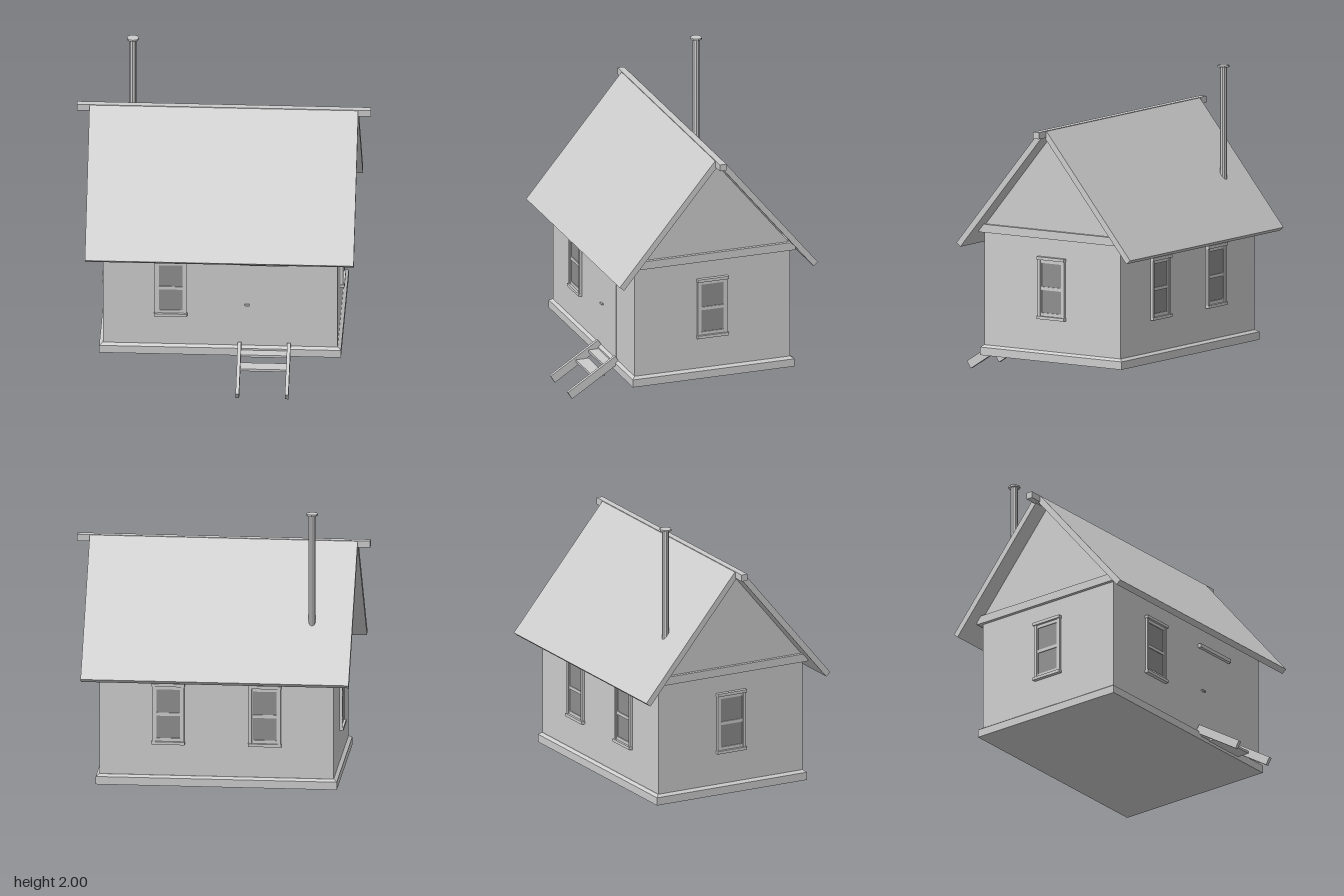
import * as THREE from 'three';

const CZ = -0.1; // depth of the ridge line

export function createModel() {
  const paint = new THREE.MeshStandardMaterial({ color: 0xcccccc, flatShading: true });
  paint.name = 'pale grey';
  const glass = new THREE.MeshStandardMaterial({ color: 0x8e8e8e, flatShading: true });
  glass.name = 'window grey';

  const house = new THREE.Group();
  house.name = 'cabin';

  const add = (parent, name, geometry, material = paint) => {
    const mesh = new THREE.Mesh(geometry, material);
    mesh.name = name;
    parent.add(mesh);
    return mesh;
  };
  // Box given by its minimum and maximum corners
  const box = (parent, name, [x0, y0, z0], [x1, y1, z1], material) => {
    const g = new THREE.BoxGeometry(x1 - x0, y1 - y0, z1 - z0);
    g.translate((x0 + x1) / 2, (y0 + y1) / 2, (z0 + z1) / 2);
    return add(parent, name, g, material);
  };
  // Side profile of [z, y] points, extruded along x
  const sideProfile = (name, points, x0, x1) => {
    const shape = new THREE.Shape(points.map(([z, y]) => new THREE.Vector2(-z, y)));
    const g = new THREE.ExtrudeGeometry(shape, { depth: x1 - x0, bevelEnabled: false });
    g.rotateY(Math.PI / 2).translate(x0, 0, 0);
    return add(house, name, g);
  };

  // Walls and base board with a sloping top edge
  box(house, 'walls', [-0.775, 0.2, CZ - 0.545], [0.775, 0.99, CZ + 0.548]);
  box(house, 'baseBoard', [-0.798, 0.16, CZ - 0.568], [0.798, 0.213, CZ + 0.568]);
  const lip = new THREE.BoxGeometry(1.596, 0.015, 1.136);
  const p = lip.attributes.position;
  for (let i = 0; i < p.count; i++) {
    if (p.getY(i) > 0) p.setXYZ(i, Math.sign(p.getX(i)) * 0.776, p.getY(i), Math.sign(p.getZ(i)) * 0.548);
  }
  lip.translate(0, 0.2205, CZ);
  add(house, 'baseBoardLip', lip);

  // Gable ends with the band below them
  sideProfile('gables', [[CZ - 0.565, 1.0], [CZ + 0.565, 1.0], [CZ, 1.68]], -0.775, 0.775);
  box(house, 'gableBand', [-0.798, 0.98, CZ - 0.575], [0.798, 1.035, CZ + 0.575]);

  // Two roof slopes and the ridge beam
  for (const s of [1, -1]) {
    const slope = [[0.697, 0.91], [0.026, 1.715], [-0.005, 1.69], [0.666, 0.885]];
    sideProfile(s > 0 ? 'frontRoof' : 'backRoof', slope.map(([d, y]) => [CZ - 0.003 + s * d, y]), -0.887, 0.887);
  }
  box(house, 'ridgeBeam', [-0.97, 1.672, CZ - 0.025], [0.97, 1.717, CZ + 0.02]);

  // Stove pipe
  const pipe = new THREE.Group();
  pipe.name = 'chimney';
  pipe.position.set(-0.62, 0, -0.503);
  add(pipe, 'pipe', new THREE.CylinderGeometry(0.024, 0.024, 0.79, 10).translate(0, 1.595, 0));
  add(pipe, 'pipeCap', new THREE.CylinderGeometry(0.04, 0.04, 0.012, 8).translate(0, 1.994, 0));
  house.add(pipe);

  // Windows, each built facing +z and turned to its wall
  const addWindow = (name, x, z, turn) => {
    const w = new THREE.Group();
    w.name = name;
    w.position.set(x, 0.649, z);
    w.rotation.y = turn;
    for (const s of [-1, 1]) {
      const frame = box(w, 'casingSide', [-0.01, -0.19, -0.01], [0.01, 0.19, 0.017]);
      frame.position.x = s * 0.096;
      const rail = box(w, s > 0 ? 'head' : 'sill', [-0.11, -0.01, -0.01], [0.11, 0.01, 0.026]);
      rail.position.y = s * 0.198;
      const stile = box(w, 'sashStile', [-0.005, -0.188, -0.01], [0.005, 0.188, 0.01]);
      stile.position.x = s * 0.083;
      const sashRail = box(w, 'sashRail', [-0.08, -0.011, -0.01], [0.08, 0.011, 0.01]);
      sashRail.position.y = s * 0.177;
    }
    box(w, 'middleRail', [-0.08, -0.014, -0.01], [0.08, 0.008, 0.01]);
    box(w, 'pane', [-0.08, -0.168, -0.004], [0.08, 0.168, 0.004], glass);
    house.add(w);
  };
  const front = CZ + 0.548;
  addWindow('frontWindow', -0.327, front, 0);
  addWindow('leftWindow', 0.775, CZ + 0.003, Math.PI / 2);
  addWindow('rightWindow', -0.775, CZ + 0.003, -Math.PI / 2);
  for (const s of [-1, 1]) addWindow('backWindow', s * 0.32, CZ - 0.545, Math.PI);

  // Door, its head board and handle
  box(house, 'door', [0.15, 0.235, front - 0.002], [0.432, 0.832, front + 0.003]);
  box(house, 'doorHead', [0.132, 0.832, front - 0.01], [0.452, 0.858, front + 0.024]);
  box(house, 'doorHandle', [0.16, 0.527, front], [0.195, 0.536, front + 0.018]);

  // Steps: two slanted stringers with treads between
  for (const x of [0.117, 0.443]) {
    sideProfile('stepStringer', [[0.468, 0.262], [0.437, 0.215], [0.772, 0.002], [0.802, 0.05]], x, x + 0.023);
  }
  for (const [y, z] of [[0.135, 0.58], [0.193, 0.492]]) {
    box(house, 'stepTread', [0.135, y - 0.008, z - 0.045], [0.448, y + 0.008, z + 0.045]);
  }
  return house;
}
